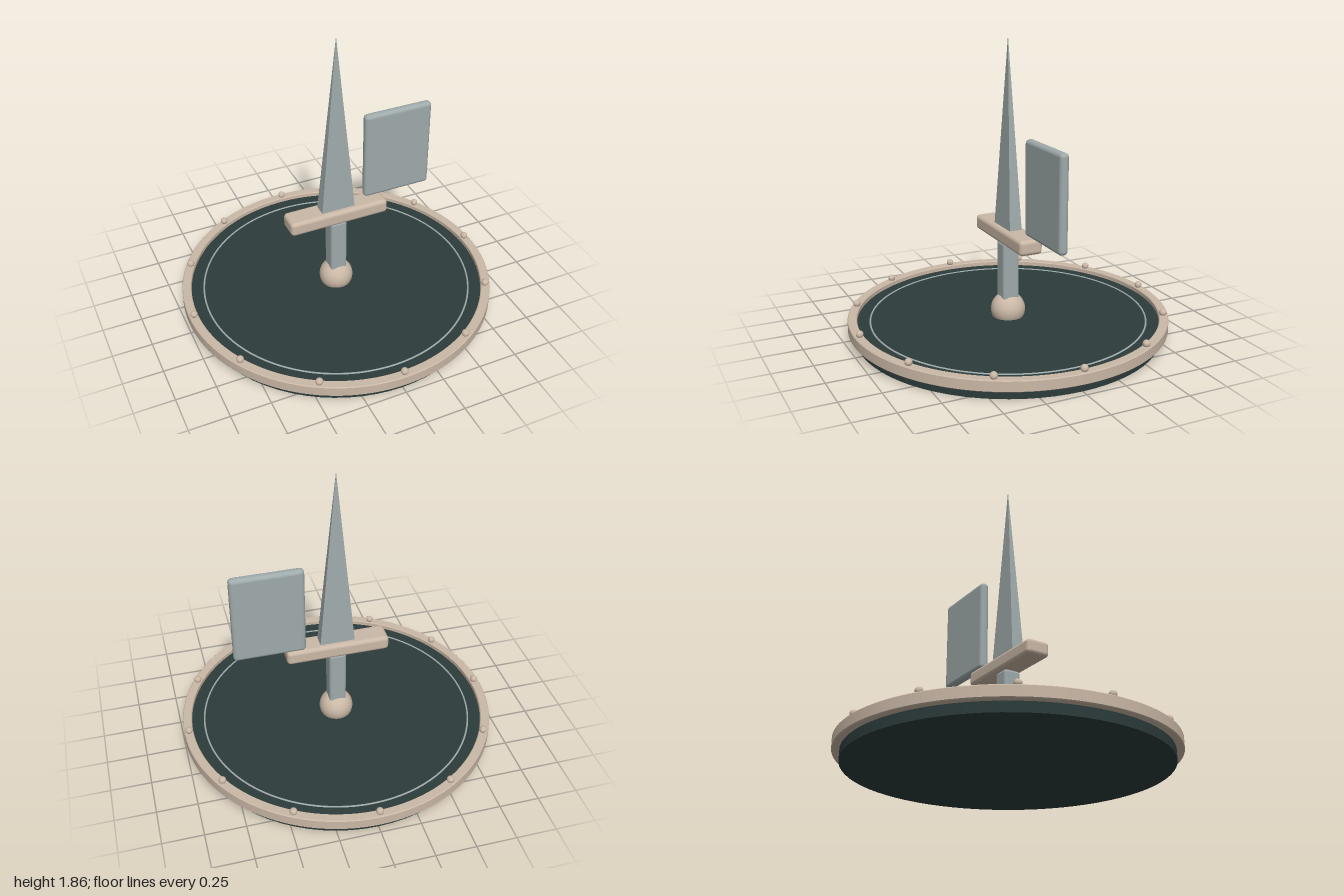
import * as THREE from 'three';
import { toCreasedNormals } from 'three/addons/utils/BufferGeometryUtils.js';
import { RoundedBoxGeometry } from 'three/addons/geometries/RoundedBoxGeometry.js';

function material(name, color) {
  const m = new THREE.MeshStandardMaterial({ color });
  m.name = name;
  return m;
}

export function createModel() {
  const model = new THREE.Group();
  model.name = 'spireOnDisc';

  const dark = material('dark slate', 0x2c3b3b);
  const tan = material('warm sand', 0xcab8a6);
  const steel = material('pale steel', 0x9faaaa);

  const add = (name, geometry, mat, x = 0, y = 0, z = 0, parent = model) => {
    const mesh = new THREE.Mesh(geometry, mat);
    mesh.name = name;
    mesh.position.set(x, y, z);
    parent.add(mesh);
    return mesh;
  };

  // Base disc
  add('baseDisc', new THREE.CylinderGeometry(0.955, 0.955, 0.1, 72), dark, 0, 0.05, 0);

  // Raised rim with a small bevel
  const bevel = 0.005;
  const rimShape = new THREE.Shape().absarc(0, 0, 1, 0, Math.PI * 2);
  rimShape.holes.push(new THREE.Path().absarc(0, 0, 0.942, 0, Math.PI * 2, true));
  const rim = new THREE.ExtrudeGeometry(rimShape, {
    depth: 0.07 - 2 * bevel, curveSegments: 72,
    bevelThickness: bevel, bevelSize: bevel, bevelOffset: -bevel, bevelSegments: 1,
  });
  rim.rotateX(-Math.PI / 2);
  add('rim', toCreasedNormals(rim, 0.5), tan, 0, 0.06 + bevel, 0);

  // Thin inlaid circle
  const inlay = new THREE.TorusGeometry(0.862, 0.006, 8, 96).rotateX(Math.PI / 2);
  add('inlayRing', inlay, steel, 0, 0.1, 0);

  // Twelve studs around the rim
  const studs = new THREE.Group();
  studs.name = 'rimStuds';
  model.add(studs);
  const stud = new THREE.SphereGeometry(0.023, 16, 12);
  for (let i = 0; i < 12; i++) {
    const a = (i / 12) * Math.PI * 2;
    add('stud', stud, tan, Math.cos(a) * 0.968, 0.145, Math.sin(a) * 0.968, studs);
  }

  // Ball joint, post and crossbeam
  add('ballJoint', new THREE.SphereGeometry(0.108, 32, 24), tan, 0, 0.144, 0);
  add('post', new RoundedBoxGeometry(0.11, 0.39, 0.11, 3, 0.02), steel, 0, 0.395, 0);
  add('crossbeam', new RoundedBoxGeometry(0.655, 0.095, 0.15, 3, 0.025), tan, 0, 0.637, 0);

  // Four-sided spire with a flattened rectangular foot
  const spire = new THREE.ConeGeometry(Math.SQRT2, 1.17, 4, 1).rotateY(Math.PI / 4);
  spire.scale(0.11, 1, 0.04);
  const flatSpire = spire.toNonIndexed();
  flatSpire.computeVertexNormals();
  add('spire', flatSpire, steel, 0, 1.27, 0);

  // Upright side panel
  add('sidePanel', new RoundedBoxGeometry(0.452, 0.59, 0.058, 3, 0.025), steel, 0.43, 0.976, -0.037);

  return model;
}
